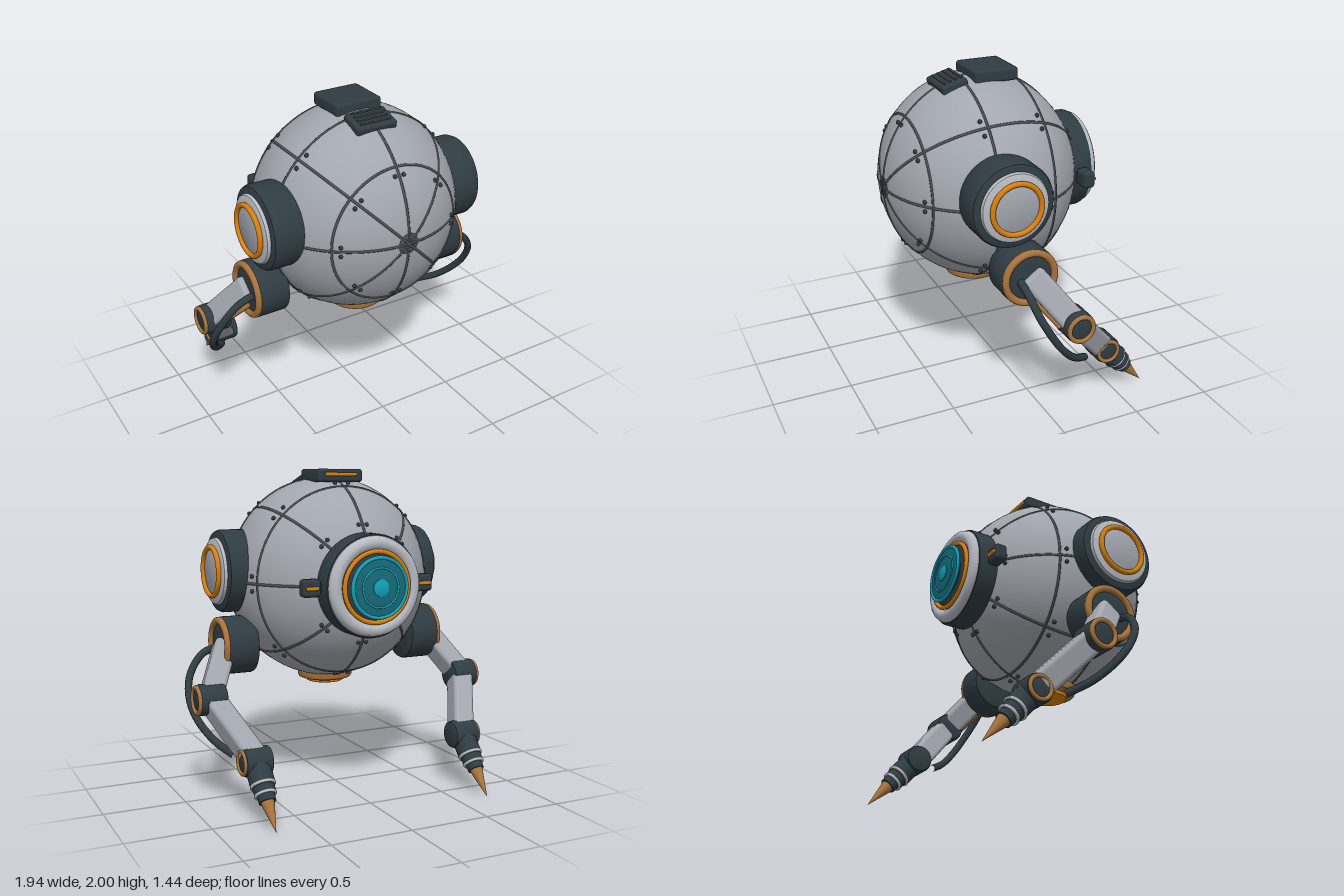
import * as THREE from 'three';
import { toCreasedNormals } from 'three/addons/utils/BufferGeometryUtils.js';
import { RoundedBoxGeometry } from 'three/addons/geometries/RoundedBoxGeometry.js';

const paint = (name, color) => {
  const m = new THREE.MeshStandardMaterial({ color });
  m.name = name;
  return m;
};
const V = (x, y, z) => new THREE.Vector3(x, y, z);

export function createModel() {
  const hullGrey = paint('hull grey', 0xa2a6ae);
  const trimGrey = paint('light trim', 0xb8bcc3);
  const dark = paint('dark slate', 0x2f3c42);
  const seamGrey = paint('seam grey', 0x4c5056);
  const copper = paint('copper', 0xa8743c);
  const orange = paint('orange', 0xd9800c);
  const cyan = paint('cyan', 0x12a3bb);
  const teal = paint('teal', 0x176a7a);

  const root = new THREE.Group();
  root.name = 'sphericalDrone';

  const add = (parent, name, geo, mat, p = [0, 0, 0]) => {
    const m = new THREE.Mesh(geo, mat);
    m.name = name;
    m.position.set(...p);
    parent.add(m);
    return m;
  };
  const group = (name, p = [0, 0, 0]) => {
    const g = new THREE.Group();
    g.name = name;
    g.position.set(...p);
    root.add(g);
    return g;
  };
  // Solid of revolution about y, profile listed from bottom to top
  const lathe = (pts, seg = 48) =>
    toCreasedNormals(new THREE.LatheGeometry(pts.map(p => new THREE.Vector2(...p)), seg), 0.6);
  // Closed cylinder from y0 to y1 with bevelled rims
  const drum = (r, y0, y1, b = 0.02) => lathe([
    [0, y0], [r - b, y0], [r - b * 0.3, y0 + b * 0.3], [r, y0 + b],
    [r, y1 - b], [r - b * 0.3, y1 - b * 0.3], [r - b, y1], [0, y1]]);
  // Ring around the y axis
  const ring = (r, t, seg = 48) => new THREE.TorusGeometry(r, t, 10, seg).rotateX(Math.PI / 2);
  // Point a mesh or group's y axis along a direction
  const aim = (obj, dir) => {
    const y = dir.clone().normalize();
    const x = V(1, 0, 0).addScaledVector(y, -y.x).normalize();
    obj.quaternion.setFromRotationMatrix(new THREE.Matrix4().makeBasis(x, y, x.clone().cross(y)));
    return obj;
  };

  // ---- Hull: slightly flattened sphere ----
  const R = 0.63, RZ = 0.6, CY = 1.323, CZ = 0.12;
  const hull = group('hull', [0, CY, CZ]);
  const shell = new THREE.SphereGeometry(R, 64, 48).rotateX(Math.PI / 2).scale(1, 1, RZ / R);
  add(hull, 'shell', shell, hullGrey);
  const radiusAt = z => R * Math.sqrt(1 - (z / RZ) ** 2);

  // Seams from front to back, every 45 degrees
  for (let i = 0; i < 4; i++) {
    const g = new THREE.TorusGeometry(R - 0.003, 0.009, 6, 96)
      .rotateY(Math.PI / 2).scale(1, 1, RZ / R).rotateZ(i * Math.PI / 4);
    add(hull, 'meridianSeam', g, seamGrey);
  }
  // Ring seams, with a pair of bolts beside every crossing
  const boltGeo = new THREE.SphereGeometry(0.013, 8, 6);
  for (const z of [0.447, 0.115, -0.25, -0.535]) {
    add(hull, 'ringSeam', new THREE.TorusGeometry(radiusAt(z) - 0.002, 0.008, 6, 96), seamGrey, [0, 0, z]);
    const bz = z + 0.035, br = radiusAt(bz) + 0.004;
    for (let i = 0; i < 8; i++) {
      for (const d of [-0.075, 0.075]) {
        const a = i * Math.PI / 4 + d;
        add(hull, 'bolt', boltGeo, dark, [br * Math.cos(a), br * Math.sin(a), bz]);
      }
    }
  }
  add(hull, 'frontHub', drum(0.067, 0, 0.02, 0.006).rotateX(Math.PI / 2), seamGrey, [0, 0, 0.58]);

  // ---- Eye at the back, built along y then turned to face -z ----
  const eye = group('eye', [0, CY, 0]);
  eye.rotation.x = -Math.PI / 2;
  add(eye, 'collar', drum(0.307, 0.33, 0.53, 0.02), dark);
  add(eye, 'rim', ring(0.253, 0.042, 64), trimGrey, [0, 0.53, 0]);
  add(eye, 'orangeRing', ring(0.207, 0.014, 64), orange, [0, 0.565, 0]);
  add(eye, 'lensSeat', drum(0.2, 0.5, 0.565, 0.01), dark);
  add(eye, 'lens', lathe([[0.12, 0.56], [0.185, 0.598], [0.18, 0.605], [0.1, 0.614], [0, 0.618]]), teal);
  add(eye, 'lensOuterRing', ring(0.174, 0.011, 64), cyan, [0, 0.604, 0]);
  add(eye, 'lensInnerRing', ring(0.115, 0.006), cyan, [0, 0.612, 0]);
  add(eye, 'pupil', lathe([[0.052, 0.61], [0.05, 0.62], [0.03, 0.626], [0, 0.628]], 32), cyan);

  // ---- Top hatch and vent ----
  const hatch = group('topHatch', [0, 1.96, 0.047]);
  add(hatch, 'hatchBox', new RoundedBoxGeometry(0.3, 0.08, 0.275, 3, 0.018), dark);
  add(hatch, 'hatchStrip', new RoundedBoxGeometry(0.21, 0.022, 0.025, 2, 0.008), orange, [0, 0.008, -0.138]);
  const vent = group('topVent', [0, 1.918, 0.3]);
  vent.rotation.x = 0.28;
  add(vent, 'ventBox', new RoundedBoxGeometry(0.265, 0.055, 0.165, 3, 0.016), dark);
  for (let i = 0; i < 4; i++) {
    add(vent, 'ventSlat', new THREE.BoxGeometry(0.2, 0.014, 0.011), seamGrey, [0, 0.03, -0.06 + i * 0.035]);
  }

  // ---- Belly thruster ----
  const belly = group('bellyThruster', [0, 0, 0.15]);
  add(belly, 'bellyRing', drum(0.175, 0.668, 0.76, 0.022), copper);
  add(belly, 'bellyPlate', drum(0.12, 0.645, 0.68, 0.01), orange);

  // ---- Mirrored side parts ----
  for (const s of [1, -1]) {
    const side = s > 0 ? 'left' : 'right';
    const outward = -s * Math.PI / 2;

    // Ear pod
    const ear = group(side + 'EarPod', [0, 1.378, 0.2]);
    ear.rotation.z = outward;
    add(ear, 'podDrum', drum(0.255, 0.5, 0.71, 0.03), dark);
    add(ear, 'podRim', drum(0.208, 0.69, 0.735, 0.022), trimGrey);
    add(ear, 'podRing', ring(0.15, 0.016, 64), orange, [0, 0.747, 0]);
    add(ear, 'podDisc', drum(0.145, 0.72, 0.742, 0.004), hullGrey);

    // Lamp beside the eye
    const lamp = group(side + 'Lamp', [s * 0.37, CY, -0.445]);
    add(lamp, 'lampBox', new RoundedBoxGeometry(0.112, 0.105, 0.078, 3, 0.022), dark);
    add(lamp, 'lampArm', new THREE.BoxGeometry(0.1, 0.045, 0.045), dark, [-s * 0.07, 0, 0]);
    add(lamp, 'lampStrip', new RoundedBoxGeometry(0.08, 0.022, 0.022, 2, 0.007), orange, [0, 0, -0.04]);

    // Joints: a drum along x with a copper ring on the outer end
    const joint = (name, p, r, half, ringR, tube) => {
      const g = group(side + name, p);
      g.rotation.z = outward;
      add(g, 'jointDrum', drum(r, -half, half, 0.018), dark);
      add(g, 'jointRing', ring(ringR, tube), copper, [0, half, 0]);
    };
    joint('Shoulder', [s * 0.63, 0.93, 0.106], 0.178, 0.1, 0.155, 0.022);
    joint('Elbow', [s * 0.868, 0.655, -0.116], 0.094, 0.085, 0.077, 0.014);
    joint('Wrist', [s * 0.7, 0.335, -0.412], 0.086, 0.085, 0.066, 0.012);

    // Arm segments
    const beam = (name, a, b, w, d) => {
      const p = V(...a), q = V(...b), dir = q.clone().sub(p);
      const m = add(root, side + name, new RoundedBoxGeometry(w, dir.length(), d, 3, 0.028),
        hullGrey, p.add(q).multiplyScalar(0.5).toArray());
      aim(m, dir);
    };
    beam('UpperArm', [s * 0.7, 0.94, 0.095], [s * 0.87, 0.655, -0.115], 0.135, 0.15);
    beam('Forearm', [s * 0.87, 0.66, -0.115], [s * 0.7, 0.34, -0.405], 0.135, 0.145);

    // Piston under the upper arm
    const a = V(s * 0.72, 0.84, 0.12), b = V(s * 0.875, 0.655, -0.025);
    const rod = add(root, side + 'Piston', new THREE.CylinderGeometry(0.022, 0.022, a.distanceTo(b), 16),
      copper, a.clone().add(b).multiplyScalar(0.5).toArray());
    aim(rod, b.clone().sub(a));

    // Hose looping from shoulder to forearm
    const path = new THREE.CatmullRomCurve3([
      [0.7, 0.92, 0.165], [0.82, 0.88, 0.165], [0.915, 0.76, 0.13], [0.945, 0.63, 0.06],
      [0.925, 0.52, -0.02], [0.86, 0.41, -0.13], [0.775, 0.335, -0.25]
    ].map(([x, y, z]) => V(s * x, y, z)));
    add(root, side + 'Hose', new THREE.TubeGeometry(path, 48, 0.023, 10), dark);

    // Tool hand with a pointed tip
    const hand = group(side + 'Tool', [s * 0.7, 0.34, -0.41]);
    aim(hand, V(0, -0.335, -0.303));
    add(hand, 'toolBody', lathe([[0, 0], [0.074, 0], [0.074, 0.16], [0.064, 0.17],
      [0.064, 0.215], [0.052, 0.225], [0.05, 0.265], [0, 0.265]], 32), dark);
    add(hand, 'toolRing', ring(0.068, 0.009), trimGrey, [0, 0.16, 0]);
    add(hand, 'toolRing', ring(0.058, 0.009), trimGrey, [0, 0.218, 0]);
    add(hand, 'toolTip', new THREE.ConeGeometry(0.042, 0.195, 24), copper, [0, 0.355, 0]);
  }
  return root;
}
